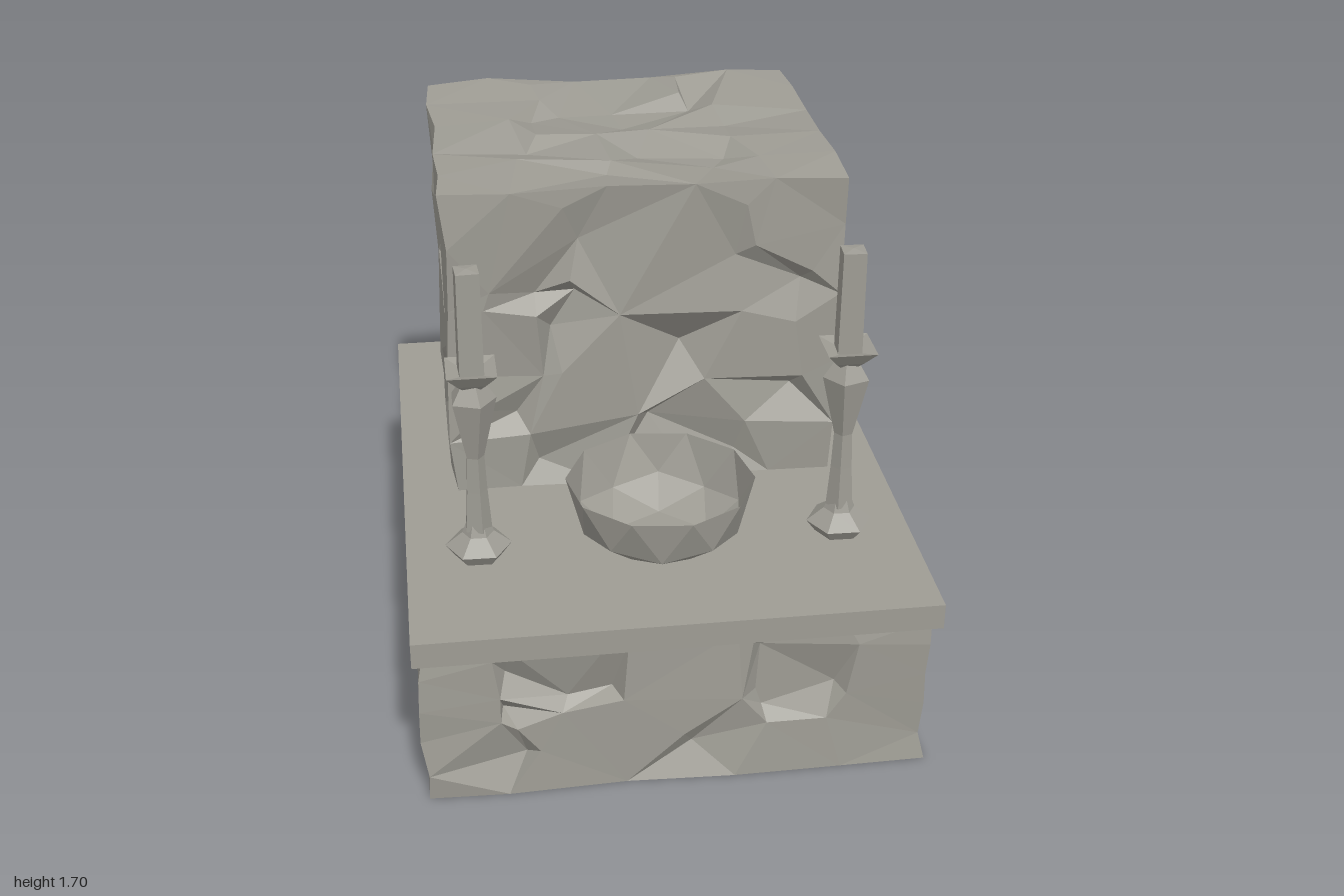
import * as THREE from 'three';

const stone = new THREE.MeshStandardMaterial({ color: 0x9e9c94, flatShading: true, side: THREE.DoubleSide });
stone.name = 'grey stone';

function add(parent, name, geometry, x = 0, y = 0, z = 0) {
  const mesh = new THREE.Mesh(geometry, stone);
  mesh.name = name;
  mesh.position.set(x, y, z);
  parent.add(mesh);
  return mesh;
}

// Triangulates scattered points: keeps each triangle whose circumcircle is empty
function triangulate(p) {
  const out = [];
  for (let i = 0; i < p.length; i++) for (let j = i + 1; j < p.length; j++) for (let k = j + 1; k < p.length; k++) {
    const [ax, ay] = p[i], bx = p[j][0] - ax, by = p[j][1] - ay, cx = p[k][0] - ax, cy = p[k][1] - ay;
    const d = 2 * (bx * cy - by * cx);
    if (Math.abs(d) < 1e-7) continue;
    const b2 = bx * bx + by * by, c2 = cx * cx + cy * cy;
    const ux = (cy * b2 - by * c2) / d, uy = (bx * c2 - cx * b2) / d, r2 = ux * ux + uy * uy - 1e-9;
    if (p.some((q, n) => n !== i && n !== j && n !== k && (q[0] - ax - ux) ** 2 + (q[1] - ay - uy) ** 2 < r2)) continue;
    out.push(d > 0 ? [i, j, k] : [i, k, j]);
  }
  return out;
}

// Uneven wear along the block edges; equal positions always move equally
function wear(v, size) {
  const h = n => {
    const s = Math.sin(v[0] * 12.9 + v[1] * 78.2 + v[2] * 37.7 + n * 11.3) * 4375.85;
    return (s - Math.floor(s) - 0.5) * size;
  };
  return [v[0] + h(1), v[1] + (v[1] > 1.5 ? h(2) : 0), v[2] + h(3)];
}

// Hewn block: each face is [axis, sign, points], a point being [u, v, height above the face]
function hewnBlock(min, max, faces) {
  const pos = [];
  for (const [axis, sign, points] of faces) {
    const [ua, va] = [[2, 1], [0, 2], [0, 1]][axis];
    const at = (a, t) => min[a] + (max[a] - min[a]) * t;
    const all = points.map(q => [...q]);
    const inner = all.length;
    const steps = [0, 0.17, 0.4, 0.62, 0.83, 1];
    for (const t of steps) all.push([at(ua, t), min[va], 0], [at(ua, t), max[va], 0]);
    for (const t of steps.slice(1, -1)) all.push([min[ua], at(va, t), 0], [max[ua], at(va, t), 0]);
    const verts = all.map(([u, v, d], i) => {
      const r = [0, 0, 0];
      r[ua] = u;
      r[va] = v;
      r[axis] = (sign > 0 ? max : min)[axis] + sign * d;
      return i < inner ? r : wear(r, 0.028);
    });
    const flip = (axis === 2 ? 1 : -1) * sign < 0;
    for (const [a, b, c] of triangulate(all)) pos.push(...verts[a], ...verts[flip ? c : b], ...verts[flip ? b : c]);
  }
  const g = new THREE.BufferGeometry();
  g.setAttribute('position', new THREE.Float32BufferAttribute(pos, 3));
  g.computeVertexNormals();
  return g;
}

const flipU = (list, c = 0) => list.map(([u, v, d]) => [2 * c - u, v, d]);

// Chiselled ridges and hollows of the tall block
const tallFront = [
  [-0.5, 1.34, 0], [-0.24, 1.37, 0], [-0.35, 1.31, -0.06], [-0.22, 1.31, -0.07], [-0.26, 1.62, 0], [-0.21, 1.5, -0.04],
  [0.33, 1.6, 0], [0.3, 1.42, -0.03], [0.36, 1.46, 0], [0.55, 1.36, 0], [0.52, 1.32, -0.05], [0.13, 1.09, -0.11],
  [-0.52, 1.28, 0], [-0.35, 1.25, 0], [-0.3, 1.18, -0.08], [-0.33, 1.02, -0.03], [-0.54, 0.92, 0], [-0.42, 0.88, -0.06],
  [-0.08, 1.24, 0], [-0.27, 1.04, 0], [-0.02, 0.87, 0], [0.02, 0.84, -0.07], [0.32, 1.23, 0], [0.5, 1.18, 0],
  [0.53, 0.98, 0], [0.5, 0.93, -0.06], [0.2, 0.99, 0], [0.34, 0.82, 0], [0.31, 0.7, -0.04], [-0.38, 0.82, 0], [-0.35, 0.7, -0.05],
];
const tallSide = [
  [0.08, 1.5, 0], [0.06, 1.45, -0.04], [-0.6, 1.54, 0.01], [-0.58, 1.5, -0.08], [-0.16, 1.45, 0], [-0.19, 1.43, -0.08],
  [-0.27, 0.95, -0.01], [-0.22, 1.24, -0.06], [0.08, 0.93, 0], [-0.26, 1.22, 0], [-0.63, 1.28, -0.06], [-0.62, 1.24, 0],
  [-0.68, 1.45, 0], [-0.72, 1.18, 0], [-0.67, 1.08, -0.05], [-0.5, 0.75, -0.03], [-0.52, 0.84, -0.06], [-0.46, 0.93, 0.01],
  [-0.77, 1.22, 0], [-0.3, 0.8, 0], [-0.7, 0.82, 0], [-0.28, 1.6, 0],
];
const tallBack = [
  [0.4, 1.38, 0], [0.36, 1.33, -0.07], [0.12, 1.42, 0], [0.1, 1.35, -0.08], [-0.1, 1.18, 0], [-0.04, 1.14, -0.08],
  [0.42, 1.1, 0], [0.36, 1.08, -0.08], [0.2, 1.15, 0], [0.05, 0.98, -0.07], [0.28, 0.9, 0], [0.1, 0.86, 0],
  [-0.18, 1.04, 0], [-0.32, 0.92, -0.06], [-0.45, 0.87, 0], [-0.5, 1.15, 0], [-0.3, 1.4, 0], [-0.42, 0.95, -0.04],
];
const tallTop = [
  [-0.28, -0.84, 0.01], [-0.26, -0.7, 0], [0.24, -0.86, 0.01], [0.23, -0.69, 0.01], [-0.2, -0.65, -0.05], [0.26, -0.66, -0.05],
  [-0.38, -0.52, 0], [-0.3, -0.58, -0.04], [-0.02, -0.6, -0.03], [0.0, -0.45, -0.03], [-0.1, -0.34, 0], [-0.3, -0.36, 0],
  [-0.34, -0.28, -0.04], [0.33, -0.58, 0], [0.35, -0.44, -0.03], [0.08, -0.36, 0], [0.34, -0.26, 0], [0.3, -0.16, -0.04],
  [0.02, -0.2, -0.04], [-0.38, -0.14, 0], [-0.08, -0.09, 0], [0.4, -0.07, 0], [-0.1, -0.04, -0.03], [0.25, -0.06, -0.03],
];

// Chiselled ridges and hollows of the base
const baseFront = [
  [-0.57, 0.5, 0], [-0.55, 0.36, 0], [-0.53, 0.43, -0.05], [-0.54, 0.3, -0.05], [-0.55, 0.27, 0], [-0.34, 0.33, -0.04],
  [-0.36, 0.29, 0], [-0.5, 0.24, 0], [-0.47, 0.12, -0.05], [-0.43, 0.15, 0], [-0.24, 0.5, 0], [-0.2, 0.34, -0.06],
  [-0.17, 0.32, 0], [0.23, 0.5, 0], [0.26, 0.46, -0.05], [0.25, 0.29, -0.05], [0.2, 0.29, 0], [0.02, 0.17, 0],
  [0.05, 0.11, -0.05], [0.27, 0.23, -0.05], [0.28, 0.19, 0], [0.47, 0.19, 0], [0.53, 0.28, 0], [0.5, 0.3, -0.05], [0.56, 0.47, 0.01],
];
const baseSide = [
  [0.82, 0.48, 0], [0.62, 0.32, -0.05], [0.6, 0.37, 0], [0.42, 0.36, -0.06], [0.4, 0.3, 0], [0.36, 0.2, -0.05],
  [0.33, 0.12, 0], [0.7, 0.2, 0.01], [0.2, 0.39, 0], [0.24, 0.41, -0.06], [0.18, 0.48, -0.03], [0.04, 0.28, -0.05],
  [0.02, 0.24, 0], [-0.05, 0.17, -0.05], [-0.1, 0.14, 0], [-0.05, 0.36, 0.01], [-0.3, 0.35, 0], [-0.27, 0.37, -0.06],
  [-0.32, 0.46, -0.04], [-0.36, 0.3, -0.05], [-0.45, 0.21, 0], [-0.53, 0.19, -0.05], [-0.56, 0.24, 0.01], [-0.75, 0.35, 0.01], [0.15, 0.12, 0.01],
];

// Half of a faceted ball, pole down, with its foot flattened onto the slab
function bowlGeometry(radius, depth) {
  const ball = new THREE.IcosahedronGeometry(radius, 1);
  ball.rotateZ(Math.atan2(2, 1 + Math.sqrt(5)));
  ball.rotateY(0.2);
  const p = ball.attributes.position, pos = [];
  for (let i = 0; i < p.count; i += 3) {
    if (p.getY(i) + p.getY(i + 1) + p.getY(i + 2) > -0.01) continue;
    for (let k = i; k < i + 3; k++) pos.push(p.getX(k), Math.max(p.getY(k), -depth), p.getZ(k));
  }
  const g = new THREE.BufferGeometry();
  g.setAttribute('position', new THREE.Float32BufferAttribute(pos, 3));
  g.computeVertexNormals();
  return g;
}

function turned(points, sides, start = Math.PI / 4) {
  return new THREE.LatheGeometry(points.map(([r, y]) => new THREE.Vector2(r, y)), sides, start);
}

// Candlestick with foot, baluster stem, drip dish and square candle
function candlestick(name, x, turn) {
  const g = new THREE.Group();
  g.name = name;
  add(g, 'foot', turned([[0.075, 0], [0.105, 0.04], [0.05, 0.085], [0.035, 0.125], [0, 0.125]], 6, 0.5));
  add(g, 'stem', turned([[0.045, 0.1], [0.035, 0.24], [0.03, 0.36], [0.075, 0.56], [0.035, 0.62]], 5, turn));
  add(g, 'dripDish', turned([[0.03, 0.595], [0.06, 0.62], [0.108, 0.665], [0.04, 0.65], [0, 0.65]], 4));
  add(g, 'candle', turned([[0.053, 0.65], [0.05, 0.985], [0, 0.99]], 4, Math.PI / 4 + turn * 0.2));
  g.position.set(x, 0.62, 0.53);
  return g;
}

export function createModel() {
  const model = new THREE.Group();
  model.name = 'stoneAltar';

  add(model, 'base', hewnBlock([-0.785, 0, -0.945], [0.785, 0.54, 0.95], [
    [2, 1, baseFront], [2, -1, flipU(baseFront)],
    [0, 1, baseSide], [0, -1, flipU(baseSide)],
    [1, -1, [[0.03, 0.02, 0]]],
  ]));
  add(model, 'slab', new THREE.BoxGeometry(1.62, 0.085, 2), 0, 0.578, 0);
  add(model, 'tallBlock', hewnBlock([-0.64, 0.62, -0.915], [0.645, 1.685, 0.135], [
    [2, 1, tallFront], [2, -1, tallBack],
    [0, 1, tallSide], [0, -1, flipU(tallSide, -0.39)],
    [1, 1, tallTop],
  ]));
  add(model, 'bowl', bowlGeometry(0.3, 0.222), 0, 0.85, 0.52);
  model.add(candlestick('rightCandlestick', -0.58, 0.3), candlestick('leftCandlestick', 0.58, -0.3));
  return model;
}
